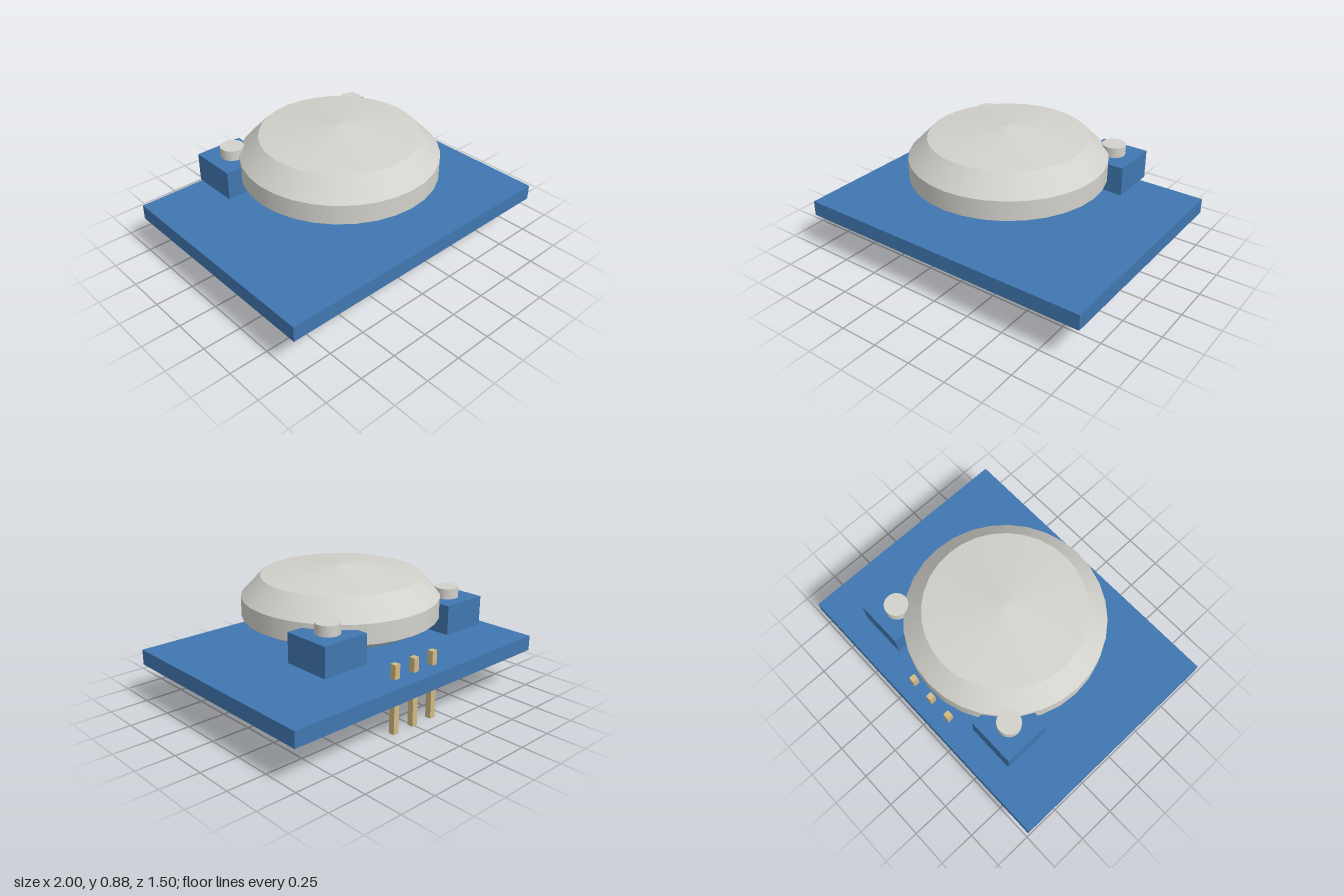
import * as THREE from 'three';

export function createModel() {
  const group = new THREE.Group();
  const blue = new THREE.MeshStandardMaterial({ name: 'boardBlue', color: 0x4077b0 });
  const grey = new THREE.MeshStandardMaterial({ name: 'domeGrey', color: 0xd2d1cb });
  const tan = new THREE.MeshStandardMaterial({ name: 'pinTan', color: 0xd0ba84 });

  function add(name, geometry, material, x, y, z, parent = group) {
    const mesh = new THREE.Mesh(geometry, material);
    mesh.name = name;
    mesh.position.set(x, y, z);
    parent.add(mesh);
    return mesh;
  }

  // Circuit board
  add('board', new THREE.BoxGeometry(2, 0.1, 1.5), blue, 0, 0.3, 0);

  // Faceted dome: one smooth ring per profile step, so the rims stay sharp
  const dome = new THREE.Group();
  dome.name = 'dome';
  group.add(dome);
  const profile = [[0, 0.5], [0.5, 0.5], [0.622, 0.565], [0.622, 0.69], [0.5, 0.815], [0, 0.876]];
  const names = ['domeBase', 'domeUnderside', 'domeBand', 'domeShoulder', 'domeCap'];
  names.forEach((name, i) => {
    const points = [profile[i], profile[i + 1]].map(([r, y]) => new THREE.Vector2(r, y));
    add(name, new THREE.LatheGeometry(points, 32), grey, 0, 0, 0, dome);
  });

  // Adjustment blocks with round knobs, mirrored left and right
  for (const [side, s] of [['left', 1], ['right', -1]]) {
    add(side + 'AdjusterBlock', new THREE.BoxGeometry(0.31, 0.185, 0.31), blue, s * 0.5, 0.5675, -0.435);
    add(side + 'AdjusterKnob', new THREE.CylinderGeometry(0.075, 0.075, 0.065, 24), grey, s * 0.5, 0.6925, -0.44);
  }

  // Three connector pins through the back edge
  for (const x of [-0.16, 0, 0.16]) {
    add('pin', new THREE.BoxGeometry(0.04, 0.44, 0.04), tan, x, 0.22, -0.635);
  }

  return group;
}
